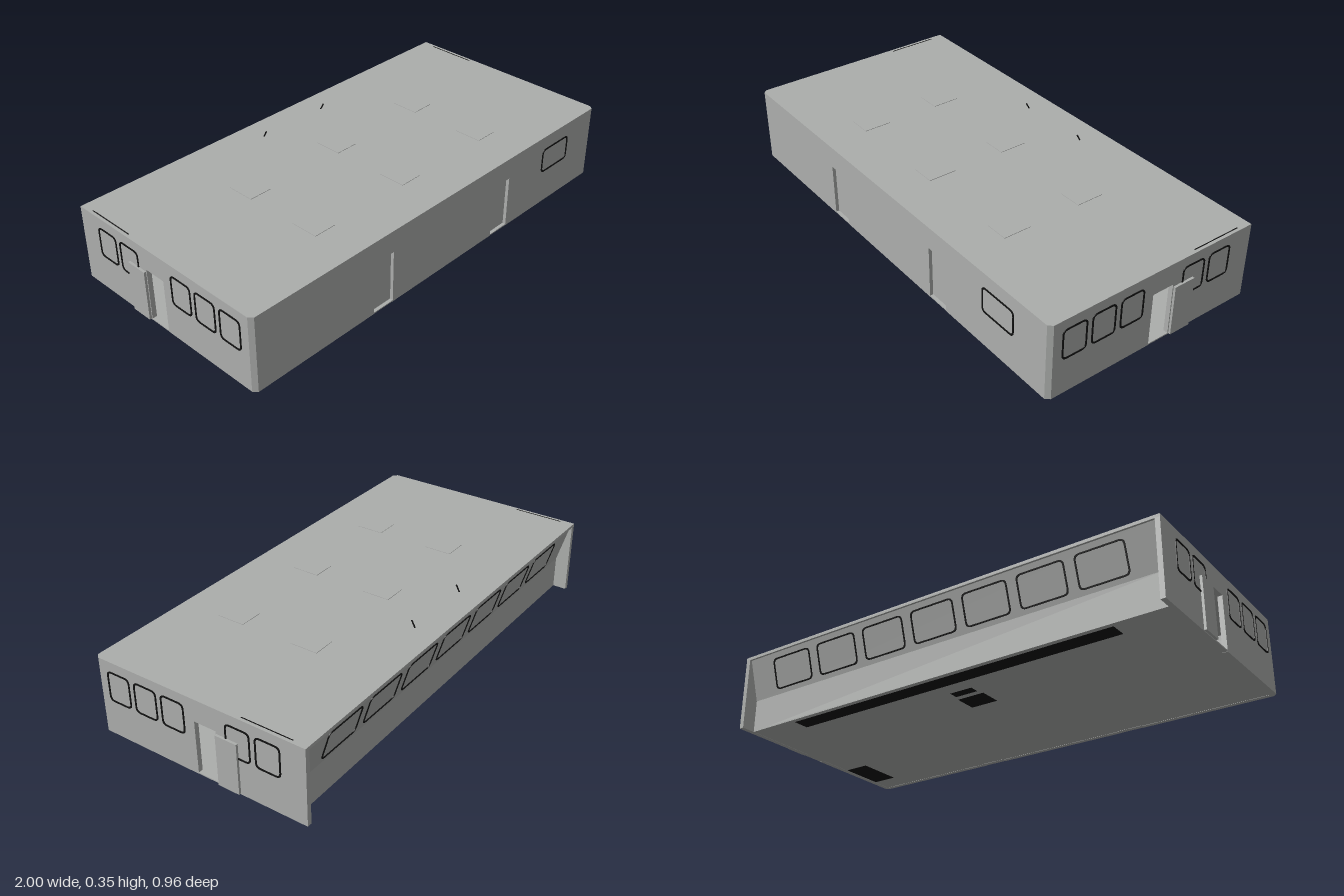
import * as THREE from 'three';

const grey = new THREE.MeshStandardMaterial({ color: 0xacaeac });
grey.name = 'paintedGrey';
const black = new THREE.MeshStandardMaterial({ color: 0x111111 });
black.name = 'black';

const H = 0.325;    // roof height
const SIDE = 0.99;  // outer face of the side walls
const FRONT = 0.475;
const BACK = -0.48;

const polygon = (pts) => new THREE.Shape(pts.map(([x, y]) => new THREE.Vector2(x, y)));
const extrude = (shape, depth) =>
  new THREE.ExtrudeGeometry(shape, { depth, bevelEnabled: false, curveSegments: 5 });

function roundedRect(target, w, h, r) {
  const x = w / 2, y = h / 2;
  target.moveTo(-x + r, -y);
  target.lineTo(x - r, -y);
  target.quadraticCurveTo(x, -y, x, -y + r);
  target.lineTo(x, y - r);
  target.quadraticCurveTo(x, y, x - r, y);
  target.lineTo(-x + r, y);
  target.quadraticCurveTo(-x, y, -x, y - r);
  target.lineTo(-x, -y + r);
  target.quadraticCurveTo(-x, -y, -x + r, -y);
  return target;
}

// Thin rounded window surround lying in the xy plane
function windowFrame(w, h) {
  const t = 0.006;
  const shape = roundedRect(new THREE.Shape(), w, h, 0.022);
  shape.holes.push(roundedRect(new THREE.Path(), w - 2 * t, h - 2 * t, 0.018));
  return extrude(shape, 0.004);
}

export function createModel() {
  const model = new THREE.Group();
  model.name = 'deckhouse';

  const add = (name, geometry, material = grey, parent = model) => {
    const mesh = new THREE.Mesh(geometry, material);
    mesh.name = name;
    parent.add(mesh);
    return mesh;
  };
  const box = (name, x0, x1, y0, y1, z0, z1, material = grey) => {
    const mesh = add(name, new THREE.BoxGeometry(x1 - x0, y1 - y0, z1 - z0), material);
    mesh.position.set((x0 + x1) / 2, (y0 + y1) / 2, (z0 + z1) / 2);
    return mesh;
  };
  // Horizontal slab from a plan outline with chamfered front corners
  const slab = (name, y0, y1, back) => {
    const outline = [[-SIDE, -back], [-SIDE, -0.458], [-0.975, -FRONT],
      [0.975, -FRONT], [SIDE, -0.458], [SIDE, -back]];
    const geo = extrude(polygon(outline), y1 - y0).rotateX(-Math.PI / 2);
    add(name, geo).position.y = y0;
  };

  // Roof and floor
  slab('roof', 0.312, H, BACK);
  slab('floor', 0.001, 0.006, -0.42);

  // Front wall with two recessed doors
  const front = [[-0.975, 0], [-0.4, 0], [-0.4, 0.23], [-0.297, 0.23], [-0.297, 0],
    [0.297, 0], [0.297, 0.23], [0.4, 0.23], [0.4, 0], [0.975, 0], [0.975, 0.315], [-0.975, 0.315]];
  add('frontWall', extrude(polygon(front), 0.02)).position.z = FRONT - 0.02;
  for (const s of [-1, 1]) {
    const x = s * 0.3485;
    box('frontDoor', x - 0.053, x + 0.053, 0, 0.232, FRONT - 0.024, FRONT - 0.014);
  }
  add('frontWindowFrame', windowFrame(0.18, 0.112), black).position.set(0.715, 0.21, FRONT - 0.001);

  // Side walls, each with an open doorway, a sliding door and five windows
  const sideOutline = [[-0.458, 0], [-0.005, 0], [-0.005, 0.23], [0.092, 0.23], [0.092, 0],
    [0.48, 0], [0.48, 0.315], [-0.458, 0.315]];
  for (const s of [-1, 1]) {
    const wall = add('sideWall', extrude(polygon(sideOutline), 0.02).rotateY(Math.PI / 2));
    wall.position.x = s > 0 ? SIDE - 0.02 : -SIDE;
    const leaf = box('slidingDoor', -0.005, 0.005, 0.004, 0.22, -0.19, -0.096);
    leaf.position.x = s * (SIDE + 0.005);
    for (const z of [0.365, 0.235, 0.105, -0.19, -0.32]) {
      const frame = add('sideWindowFrame', windowFrame(0.11, 0.131), black);
      frame.rotation.y = s * Math.PI / 2;
      frame.position.set(s * (SIDE - 0.001), 0.219, z);
    }
    // Chamfered front corner post
    const post = [[s * 0.97, -0.45], [s * SIDE, -0.458], [s * 0.975, -FRONT], [s * 0.96, -0.46]];
    add('cornerPost', extrude(polygon(post), 0.315).rotateX(-Math.PI / 2));
    // Narrow strip along the roof edge
    box('roofEdgeStrip', s * 0.975 - 0.002, s * 0.975 + 0.002, 0.32, H + 0.001, -0.42, -0.2, black);
  }

  // Back wall: upright below, leaning out under the roof above
  const backProfile = [[0.42, 0], [0.42, 0.14], [0.472, 0.315], [0.457, 0.315], [0.405, 0.14], [0.405, 0]];
  add('backWall', extrude(polygon(backProfile), 1.95).rotateY(Math.PI / 2)).position.x = -0.975;

  // Seven windows on the leaning part of the back wall
  const band = new THREE.Group();
  band.name = 'backWindows';
  band.position.set(0, 0.14, -0.419);
  band.rotation.set(-Math.atan2(0.052, 0.175), Math.PI, 0);
  model.add(band);
  for (let i = -3; i <= 3; i++) {
    add('backWindowFrame', windowFrame(0.205, 0.135), black, band).position.set(i * 0.247, 0.088, 0);
  }

  // Low roof panels
  for (const x of [-0.47, 0, 0.47]) {
    for (const z of [-0.113, 0.235]) {
      box('roofPanel', x - 0.05, x + 0.05, 0.32, H + 0.002, z - 0.06, z + 0.06);
    }
  }

  // Short leaning roof rods
  for (const x of [-0.165, 0.165]) {
    const rod = add('roofRod', new THREE.CylinderGeometry(0.003, 0.003, 0.032, 8), black);
    rod.position.set(x, 0.339, -0.363);
    rod.rotation.x = 0.5;
  }

  // Interior consoles, whose bases show on the underside
  box('windowConsole', -0.75, 0.75, 0, 0.1, -0.4, -0.33, black);
  box('centreConsole', -0.06, 0.06, 0, 0.1, -0.2, -0.105, black);
  box('helmStand', -0.05, 0.05, 0, 0.1, -0.265, -0.225, black);
  box('cornerCabinet', 0.855, 0.965, 0, 0.1, 0.16, 0.36, black);

  return model;
}
